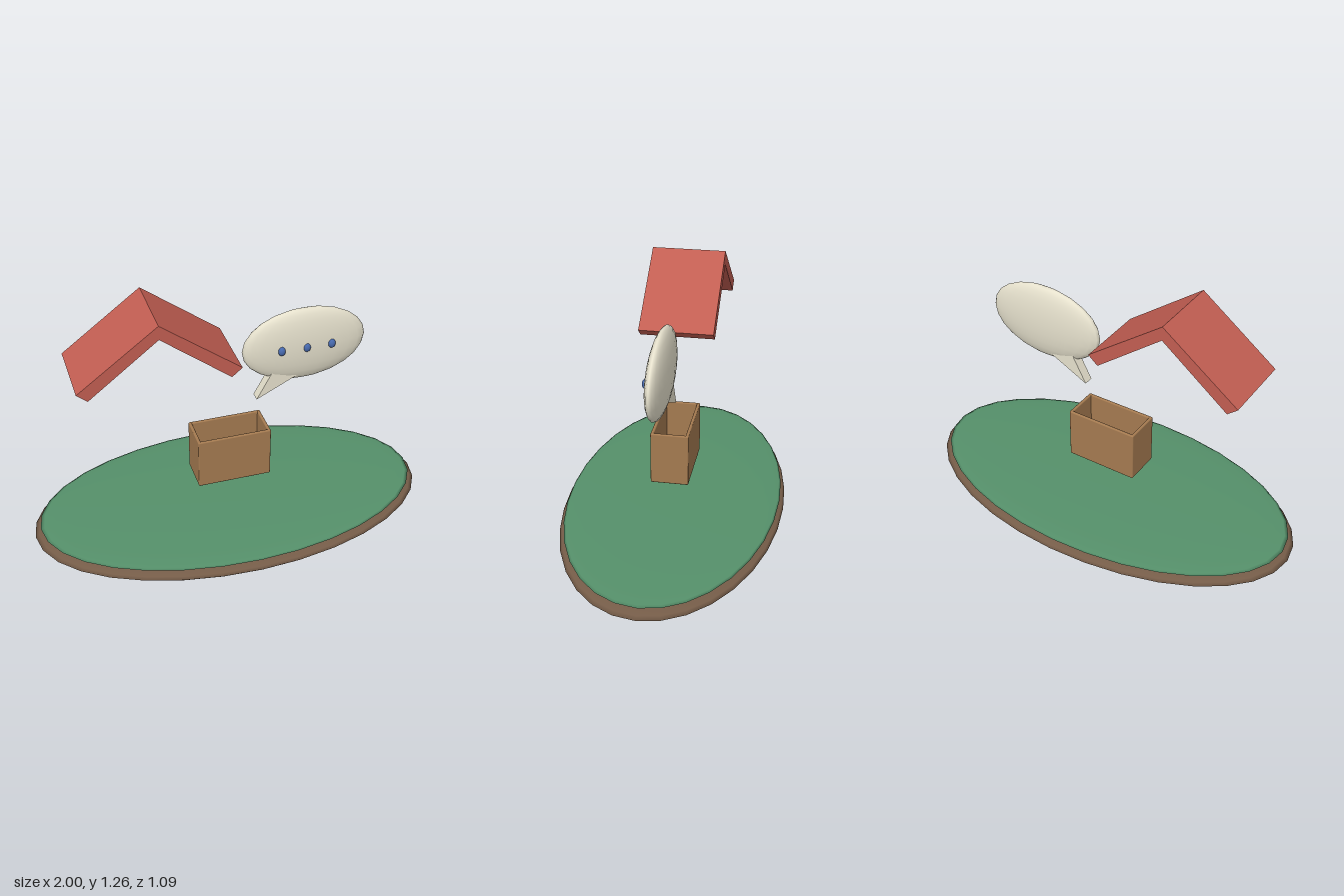
import * as THREE from 'three';
import { RoundedBoxGeometry } from 'three/addons/geometries/RoundedBoxGeometry.js';

const mat = (color) => new THREE.MeshStandardMaterial({ color });

function add(parent, name, geometry, material, x = 0, y = 0, z = 0) {
  const mesh = new THREE.Mesh(geometry, material);
  mesh.name = name;
  mesh.position.set(x, y, z);
  parent.add(mesh);
  return mesh;
}

// Sphere squashed to three radii, with its normals kept correct
const ellipsoid = (rx, ry, rz, w = 32, h = 16) =>
  new THREE.SphereGeometry(1, w, h).scale(rx, ry, rz);

// Outline in x and y, extruded evenly to both sides of z = 0
function slab(points, depth) {
  const shape = new THREE.Shape(points.map(([x, y]) => new THREE.Vector2(x, y)));
  return new THREE.ExtrudeGeometry(shape, { depth, bevelEnabled: false })
    .translate(0, 0, -depth / 2);
}

export function createModel() {
  const model = new THREE.Group();
  model.name = 'model';
  const earth = mat(0x755c48), grass = mat(0x55906a), wood = mat(0xa47a50);
  const red = mat(0xc25e52), cream = mat(0xe6e1cd), blue = mat(0x4668ac);

  // Ground: an earth disc with a thinner grass disc on it
  add(model, 'earthDisc', ellipsoid(1, 0.06, 0.545), earth, 0, 0.06);
  add(model, 'grassDisc', ellipsoid(0.97, 0.019, 0.525), grass, 0, 0.104);

  // Open crate: floor and four thin walls
  const crate = new THREE.Group();
  crate.name = 'crate';
  model.add(crate);
  const w = 0.37, h = 0.265, d = 0.185, t = 0.016, y = 0.39;
  add(crate, 'crateFloor', new THREE.BoxGeometry(w - t, t, d - t), wood, 0, y - h / 2 + t / 2);
  for (const s of [-1, 1]) {
    add(crate, s > 0 ? 'crateFront' : 'crateBack',
      new RoundedBoxGeometry(w, h, t, 2, 0.006), wood, 0, y, s * (d - t) / 2);
    add(crate, s > 0 ? 'crateLeftSide' : 'crateRightSide',
      new RoundedBoxGeometry(t, h, d, 2, 0.006), wood, s * (w - t) / 2, y, 0);
  }

  // Floating gable roof
  add(model, 'roof', slab([
    [-0.375, 1.262], [-0.757, 0.977], [-0.707, 0.935],
    [-0.375, 1.193], [-0.043, 0.935], [0.007, 0.977],
  ], 0.36), red);

  // Speech bubble with its tail and three dots
  const bubble = new THREE.Group();
  bubble.name = 'speechBubble';
  model.add(bubble);
  add(bubble, 'bubbleBody', ellipsoid(0.31, 0.193, 0.049, 24, 12), cream, 0.37, 0.937);
  add(bubble, 'bubbleTail', slab([[0.13, 0.672], [0.335, 0.775], [0.205, 0.81]], 0.05), cream);
  for (let i = -1; i <= 1; i++) {
    add(bubble, 'bubbleDot', ellipsoid(0.018, 0.023, 0.017, 16, 12), blue,
      0.37 + i * 0.126, 0.937, 0.045);
  }
  return model;
}
